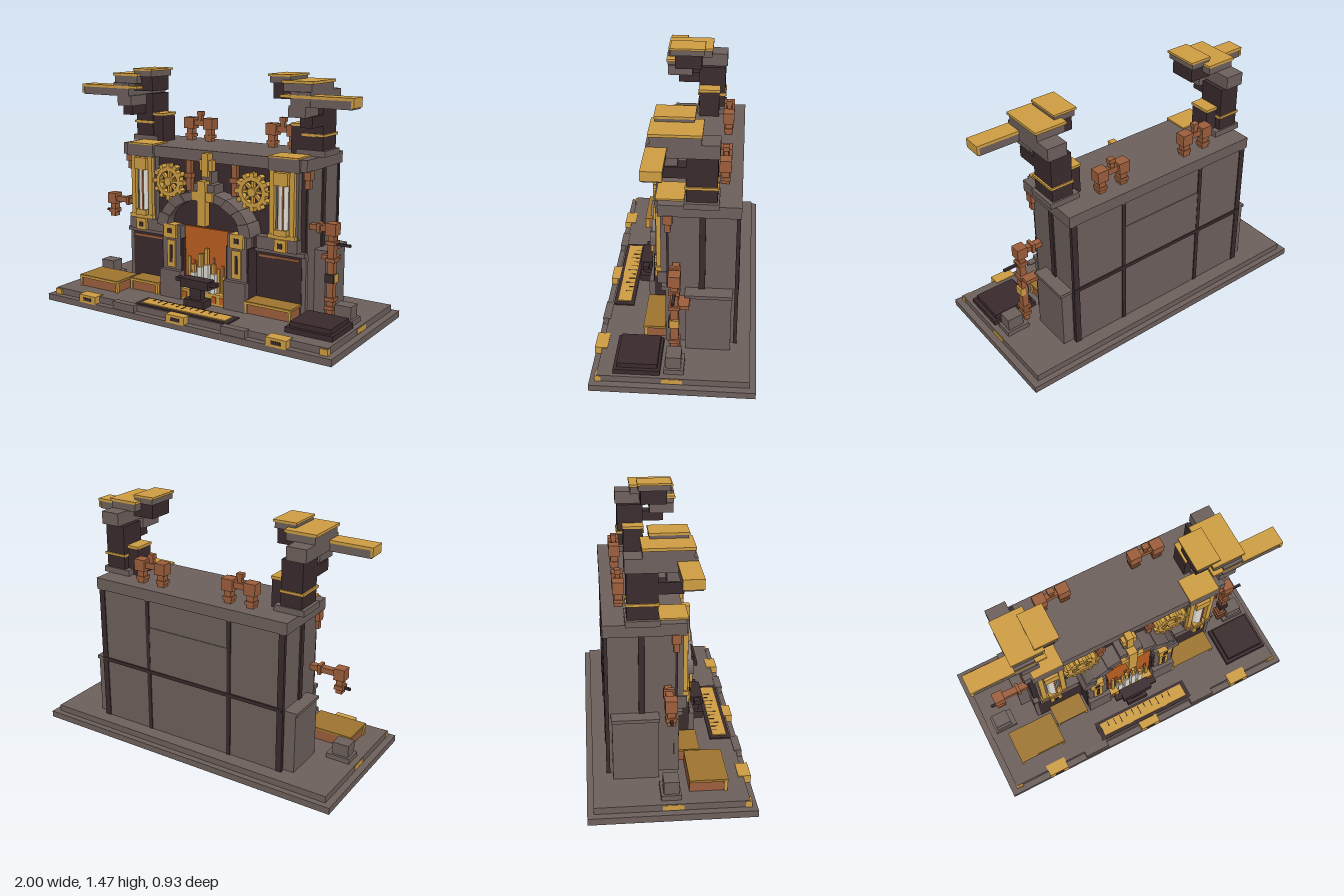
import * as THREE from 'three';

const mat = (name, color) => {
  const m = new THREE.MeshStandardMaterial({ color });
  m.name = name;
  return m;
};

export function createModel() {
  const root = new THREE.Group();
  root.name = 'forgeFireplace';
  const stone = mat('stone', 0x6d605c), dark = mat('darkIron', 0x3a2b2d), gold = mat('gold', 0xcf9e43);
  const brass = mat('brass', 0x9f7530), copper = mat('copper', 0x9c5e3c), fire = mat('fire', 0xbb5e20);
  const pale = mat('paleGlass', 0xdfddd3);

  const add = (name, geo, m, parent = root) => {
    const mesh = new THREE.Mesh(geo, m);
    mesh.name = name;
    parent.add(mesh);
    return mesh;
  };
  // box from its bounds
  const box = (name, m, x0, x1, y0, y1, z0, z1) => {
    const mesh = add(name, new THREE.BoxGeometry(x1 - x0, y1 - y0, z1 - z0), m);
    mesh.position.set((x0 + x1) / 2, (y0 + y1) / 2, (z0 + z1) / 2);
    return mesh;
  };
  // the same box on both sides
  const pair = (name, m, x0, x1, ...r) => {
    box(name + 'Left', m, x0, x1, ...r);
    box(name + 'Right', m, -x1, -x0, ...r);
  };

  // stepped base with edge clamps, each showing a rim underneath
  box('baseSlab', stone, -1, 1, 0, 0.04, -0.46, 0.46);
  box('baseStep', stone, -0.96, 0.96, 0.04, 0.08, -0.425, 0.42);
  for (const x of [-0.67, 0, 0.67]) {
    box('baseClamp', gold, x - 0.065, x + 0.065, 0.035, 0.085, 0.39, 0.462);
    box('clampSlot', dark, x - 0.03, x + 0.03, 0.05, 0.07, 0.46, 0.465);
    box('clampUnderRim', gold, x - 0.062, x + 0.062, -0.001, 0.004, 0.4, 0.455);
    box('clampUnderFill', stone, x - 0.05, x + 0.05, -0.002, 0.004, 0.412, 0.443);
  }
  pair('baseStoneClamp', stone, 0.31, 0.47, 0.03, 0.085, 0.41, 0.455);
  pair('baseCorner', gold, 0.915, 0.963, 0.04, 0.075, 0.395, 0.43);
  pair('baseSidePlate', gold, 0.945, 0.963, 0.045, 0.075, -0.055, 0.06);

  // main body
  box('body', stone, -0.63, 0.63, 0.08, 0.93, -0.34, 0.04);
  box('mantelSlab', stone, -0.65, 0.65, 0.93, 1, -0.35, 0.1);
  pair('mantelCorner', stone, 0.41, 0.61, 0.925, 1, 0.08, 0.115);
  pair('mantelPlate', gold, 0.41, 0.6, 1, 1.009, -0.04, 0.115);
  box('frontWall', dark, -0.625, 0.625, 0.08, 0.93, 0.035, 0.055);
  pair('sideBlock', stone, 0.62, 0.7, 0.08, 0.44, -0.31, -0.055);
  pair('sideBlockCap', stone, 0.62, 0.71, 0.44, 0.46, -0.315, -0.05);
  pair('sideRib', dark, 0.625, 0.64, 0.08, 0.93, -0.16, -0.125);
  pair('rearSideRib', dark, 0.6, 0.637, 0.08, 0.93, -0.346, -0.325);
  pair('rearRib', dark, 0.27, 0.295, 0.08, 0.93, -0.346, -0.33);
  box('rearRail', dark, -0.63, 0.63, 0.46, 0.482, -0.349, -0.33);
  box('rearPanel', stone, -0.27, 0.27, 0.482, 0.76, -0.344, -0.33);

  // recessed lower bays
  pair('bayPanel', dark, 0.3, 0.61, 0.08, 0.437, 0.04, 0.065);
  pair('bayJamb', stone, 0.605, 0.635, 0.08, 0.437, 0.035, 0.062);
  pair('bayStrip', copper, 0.33, 0.595, 0.402, 0.416, 0.06, 0.072);
  pair('bayCornice', stone, 0.29, 0.635, 0.435, 0.46, 0.04, 0.085);
  pair('bayBand', stone, 0.18, 0.6, 0.46, 0.535, 0.05, 0.11);
  pair('bandSlot', dark, 0.31, 0.34, 0.46, 0.53, 0.11, 0.114);

  // glass tube columns
  pair('column', stone, 0.41, 0.595, 0.53, 0.93, 0.05, 0.09);
  pair('columnSill', gold, 0.415, 0.59, 0.535, 0.56, 0.05, 0.12);
  pair('columnHead', gold, 0.455, 0.545, 0.845, 0.92, 0.08, 0.13);
  pair('columnFoot', gold, 0.46, 0.54, 0.555, 0.59, 0.08, 0.13);
  pair('columnBarInner', gold, 0.42, 0.45, 0.54, 0.925, 0.085, 0.115);
  pair('columnBarOuter', gold, 0.55, 0.58, 0.54, 0.925, 0.085, 0.115);
  pair('columnBolt', gold, 0.462, 0.538, 0.462, 0.535, 0.1, 0.13);
  pair('columnBoltHole', dark, 0.485, 0.515, 0.482, 0.512, 0.129, 0.133);
  for (const s of [-1, 1]) {
    add('glassTube', new THREE.CylinderGeometry(0.032, 0.032, 0.26, 12), pale).position.set(s * 0.5, 0.717, 0.092);
    add('tubeFilament', new THREE.BoxGeometry(0.01, 0.26, 0.008), copper).position.set(s * 0.5 + 0.012, 0.717, 0.122);
  }
  pair('wallSocket', copper, 0.615, 0.655, 0.88, 0.935, 0.02, 0.07);
  pair('wallSocketEnd', copper, 0.622, 0.648, 0.83, 0.88, 0.03, 0.06);

  // projecting hearth with posts and opening
  pair('hearthJamb', dark, 0.155, 0.31, 0.08, 0.455, 0.04, 0.158);
  box('fireScreen', fire, -0.158, 0.158, 0.08, 0.535, 0.05, 0.13);
  pair('postPedestal', stone, 0.155, 0.308, 0.08, 0.255, 0.15, 0.19);
  pair('post', stone, 0.17, 0.3, 0.255, 0.535, 0.06, 0.162);
  pair('postPlate', gold, 0.205, 0.265, 0.27, 0.44, 0.15, 0.172);
  pair('postPlateSlot', dark, 0.225, 0.245, 0.3, 0.41, 0.17, 0.175);
  pair('postBlock', gold, 0.195, 0.285, 0.455, 0.54, 0.11, 0.18);
  pair('postBlockHole', dark, 0.225, 0.255, 0.485, 0.515, 0.178, 0.183);

  // flattened arch of wedge stones over a dark infill
  const flat = 0.715, n = 9, step = Math.PI / n;
  for (let i = 0; i < n; i++) {
    const s = new THREE.Shape();
    s.absarc(0, 0, i % 2 ? 0.325 : 0.332, i * step, (i + 1) * step, false);
    s.absarc(0, 0, 0.255, (i + 1) * step, i * step, true);
    const geo = new THREE.ExtrudeGeometry(s, { depth: i % 2 ? 0.115 : 0.125, bevelEnabled: false, curveSegments: 3 });
    add('archStone', geo.scale(1, flat, 1), stone).position.set(0, 0.53, 0.055);
  }
  const infill = new THREE.Shape().absarc(0, 0, 0.257, 0, Math.PI);
  add('archInfill', new THREE.ExtrudeGeometry(infill, { depth: 0.065, bevelEnabled: false, curveSegments: 20 })
    .scale(1, flat, 1), dark).position.set(0, 0.53, 0.05);

  // keystone ornament
  box('keystone', stone, -0.075, 0.075, 0.73, 0.81, 0.06, 0.165);
  box('keystoneUpper', stone, -0.035, 0.035, 0.8, 0.88, 0.06, 0.13);
  box('keyBlade', gold, -0.028, 0.028, 0.56, 0.83, 0.14, 0.19);
  box('keyArms', gold, -0.075, 0.075, 0.71, 0.765, 0.14, 0.185);
  box('crestBar', gold, -0.022, 0.022, 0.85, 0.99, 0.1, 0.15);
  box('crestArms', gold, -0.045, 0.045, 0.885, 0.95, 0.1, 0.14);

  // wall gears
  const ring = new THREE.Shape().absarc(0, 0, 0.092, 0, Math.PI * 2);
  ring.holes.push(new THREE.Path().absarc(0, 0, 0.066, 0, Math.PI * 2, true));
  const rim = new THREE.ExtrudeGeometry(ring, { depth: 0.04, bevelEnabled: false, curveSegments: 10 });
  for (const s of [-1, 1]) {
    const gear = new THREE.Group();
    gear.name = 'gear';
    gear.position.set(s * 0.3, 0.785, 0.09);
    root.add(gear);
    add('gearRim', rim, gold, gear).position.z = -0.02;
    for (let i = 0; i < 12; i++) {
      const a = (i * Math.PI) / 6;
      const t = add('gearTooth', new THREE.BoxGeometry(0.028, 0.026, 0.044), gold, gear);
      t.position.set(Math.cos(a) * 0.1, Math.sin(a) * 0.1, 0);
      t.rotation.z = a;
    }
    for (let i = 0; i < 4; i++)
      add('gearSpoke', new THREE.BoxGeometry(0.15, 0.015, 0.026), gold, gear).rotation.z = (i * Math.PI) / 4;
    add('gearHub', new THREE.CylinderGeometry(0.027, 0.027, 0.055, 10).rotateX(Math.PI / 2), gold, gear);
  }
  pair('wallPipe', copper, 0.145, 0.18, 0.74, 0.93, 0.05, 0.085);
  pair('wallPipeCollar', copper, 0.135, 0.19, 0.82, 0.85, 0.05, 0.095);

  // fire bed, glowing bars and flames
  box('emberBed', gold, -0.156, 0.156, 0.08, 0.15, 0.125, 0.175);
  for (const x of [-0.13, -0.075, 0.08, 0.135]) box('ember', fire, x - 0.015, x + 0.015, 0.095, 0.135, 0.17, 0.18);
  const heights = [0.26, 0.33, 0.29, 0.38, 0.31, 0.36, 0.27, 0.32];
  heights.forEach((h, i) => {
    const x = -0.125 + i * 0.035;
    box('backFlame', copper, x - 0.009, x + 0.009, 0.14, h, 0.127, 0.136);
    box('flame', gold, x - 0.001, x + 0.017, 0.14, heights[(i + 3) % 8] - 0.03, 0.136, 0.146);
  });
  [[-0.075, 0.26, 0.31], [-0.027, 0.3, 0.38], [0.02, 0.32, 0.42], [0.068, 0.27, 0.33]].forEach(([x, h, top]) => {
    box('hotBar', pale, x - 0.016, x + 0.016, 0.15, h, 0.142, 0.172);
    box('hotBarFlame', gold, x - 0.01, x + 0.01, h, top, 0.147, 0.167);
  });

  // anvil
  box('anvilFoot', dark, -0.07, 0.07, 0.08, 0.125, 0.19, 0.275);
  box('anvilStem', dark, -0.04, 0.04, 0.125, 0.2, 0.21, 0.255);
  box('anvilBody', dark, -0.1, 0.1, 0.195, 0.248, 0.195, 0.268);
  box('anvilHorn', dark, -0.145, 0.145, 0.218, 0.242, 0.212, 0.25);

  // floor grate
  box('grateFrame', dark, -0.33, 0.33, 0.08, 0.088, 0.285, 0.41);
  box('gratePlate', gold, -0.3, 0.3, 0.085, 0.094, 0.305, 0.39);
  for (let i = 0; i < 11; i++) box('grateSlot', dark, -0.25 + i * 0.045, -0.245 + i * 0.045, 0.09, 0.096, 0.31, 0.34 + (i % 3) * 0.012);

  // benches with metal tops
  for (const [x0, x1, z0, z1] of [[-0.86, -0.555, 0.1, 0.31], [-0.545, -0.33, 0.045, 0.19], [0.305, 0.61, 0.045, 0.19]]) {
    box('benchBody', copper, x0 + 0.01, x1 - 0.01, 0.08, 0.14, z0, z1 - 0.01);
    box('benchTop', brass, x0, x1, 0.14, 0.155, z0, z1);
    box('benchTrim', gold, x0, x1, 0.138, 0.152, z1 - 0.005, z1 + 0.004);
    for (const x of [x0, x1 - 0.015]) box('benchLeg', gold, x, x + 0.015, 0.08, 0.14, z1 - 0.02, z1);
  }

  // dark plinth and corner blocks
  box('plinthLower', dark, 0.65, 0.94, 0.08, 0.11, 0.07, 0.33);
  box('plinthUpper', dark, 0.67, 0.92, 0.11, 0.14, 0.085, 0.31);
  pair('cornerBlockFoot', stone, 0.78, 0.925, 0.08, 0.11, -0.06, 0.05);
  pair('cornerBlock', stone, 0.81, 0.91, 0.11, 0.185, -0.045, 0.04);

  // side pipes
  pair('sidePipeArm', copper, 0.62, 0.79, 0.592, 0.625, -0.02, 0.02);
  pair('sidePipeFlange', copper, 0.68, 0.7, 0.58, 0.637, -0.03, 0.03);
  pair('valveStem', dark, 0.79, 0.88, 0.518, 0.532, -0.008, 0.008);
  box('leftElbow', copper, 0.735, 0.8, 0.575, 0.645, -0.033, 0.033);
  box('leftDownPipe', copper, 0.748, 0.787, 0.1, 0.58, -0.022, 0.022);
  for (const y of [0.14, 0.19, 0.42, 0.52]) box('leftPipeCollar', copper, 0.738, 0.797, y, y + 0.022, -0.031, 0.031);
  box('leftPipeCoupler', dark, 0.74, 0.795, 0.3, 0.35, -0.02, 0.033);
  box('leftPipeBand', gold, 0.765, 0.798, 0.3, 0.35, -0.026, 0.026);
  box('leftPipeBranch', copper, 0.69, 0.785, 0.42, 0.445, -0.08, -0.02);
  box('rightElbow', copper, -0.85, -0.785, 0.575, 0.645, -0.033, 0.033);
  box('rightDownPipe', copper, -0.837, -0.798, 0.49, 0.58, -0.022, 0.022);
  box('rightPipeCollar', copper, -0.845, -0.79, 0.515, 0.54, -0.03, 0.03);

  // roof pipes
  for (const x of [0.23, 0.375]) {
    pair('roofPipeHead', copper, x - 0.036, x + 0.036, 1.075, 1.145, -0.285, -0.22);
    pair('roofPipeNeck', copper, x - 0.022, x + 0.022, 1, 1.075, -0.275, -0.23);
    pair('roofPipeCollar', copper, x - 0.03, x + 0.03, 1.02, 1.04, -0.28, -0.225);
  }
  pair('roofPipeLink', copper, 0.25, 0.35, 1.095, 1.13, -0.27, -0.235);
  pair('roofPipeStem', copper, 0.288, 0.315, 1.12, 1.165, -0.265, -0.24);
  pair('roofPipeKnob', copper, 0.282, 0.322, 1.16, 1.185, -0.27, -0.235);

  // roof towers with stacked heads and side arms
  pair('towerFoot', stone, 0.5, 0.685, 1, 1.035, -0.23, -0.045);
  pair('tower', dark, 0.535, 0.665, 1.035, 1.3, -0.22, -0.055);
  pair('towerBand', gold, 0.53, 0.675, 1.112, 1.127, -0.227, -0.048);
  pair('sideStack', dark, 0.46, 0.535, 1, 1.165, -0.185, -0.06);
  pair('sideStackCap', gold, 0.455, 0.535, 1.165, 1.18, -0.19, -0.055);
  pair('towerSpout', dark, 0.59, 0.665, 1.175, 1.24, -0.06, 0.08);
  pair('headLower', stone, 0.55, 0.655, 1.237, 1.3, -0.01, 0.145);
  pair('head', stone, 0.565, 0.685, 1.3, 1.378, -0.23, 0.148);
  pair('headUpper', stone, 0.51, 0.685, 1.375, 1.42, -0.135, 0.13);
  pair('headCap', gold, 0.5, 0.695, 1.42, 1.436, -0.14, 0.137);
  pair('innerHeadCore', dark, 0.425, 0.57, 1.33, 1.42, -0.075, 0.09);
  pair('innerHead', stone, 0.415, 0.545, 1.418, 1.456, -0.09, 0.115);
  pair('innerHeadCap', gold, 0.405, 0.55, 1.454, 1.467, -0.095, 0.12);
  pair('arm', stone, 0.6, 0.93, 1.296, 1.343, 0.045, 0.145);
  pair('armTop', gold, 0.5, 0.94, 1.343, 1.36, 0.04, 0.15);
  pair('armEnd', gold, 0.925, 0.94, 1.305, 1.345, 0.04, 0.15);

  return root;
}
